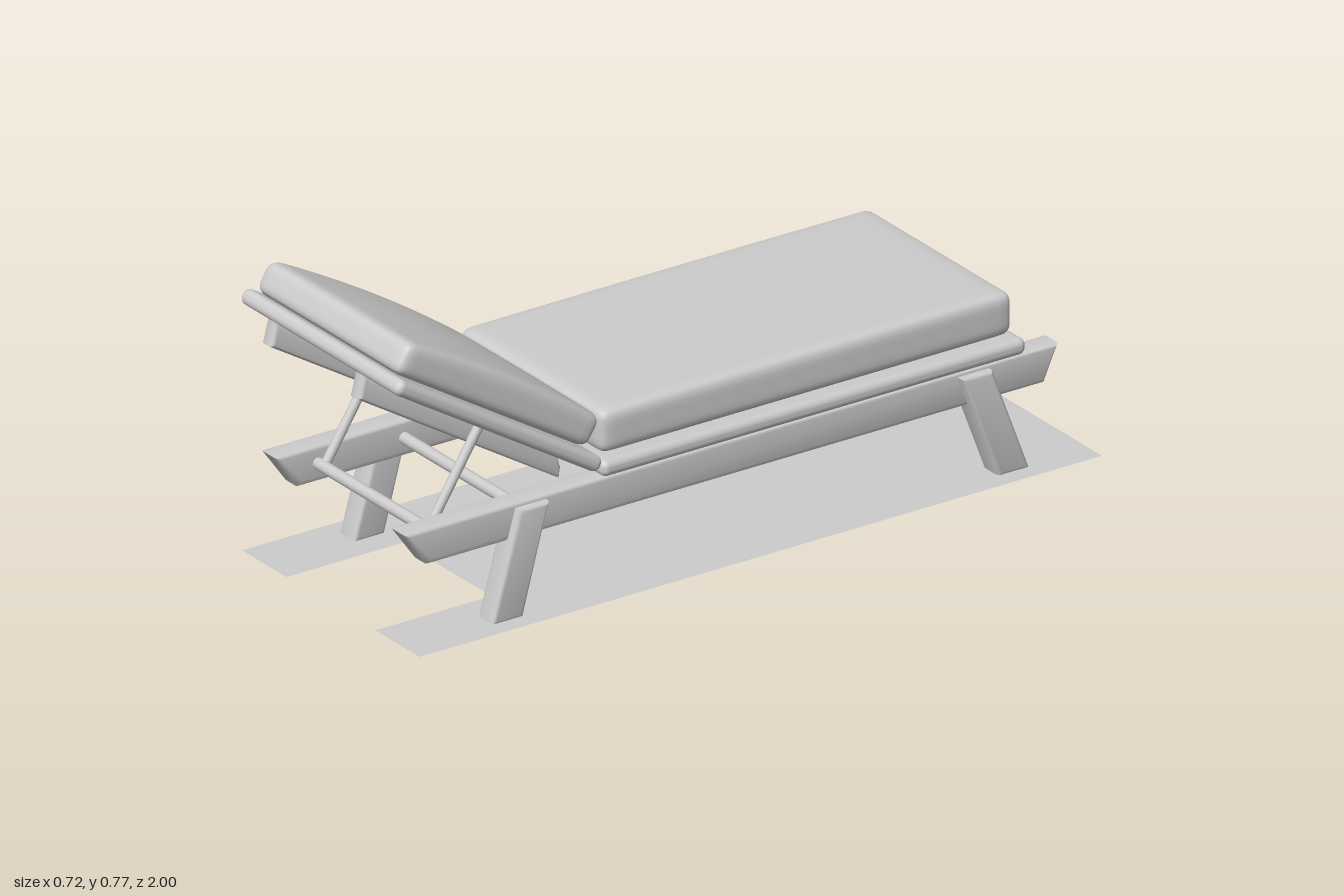
import * as THREE from 'three';
import { mergeVertices, toCreasedNormals } from 'three/addons/utils/BufferGeometryUtils.js';
import { RoundedBoxGeometry } from 'three/addons/geometries/RoundedBoxGeometry.js';

export function createModel() {
  const model = new THREE.Group();
  model.name = 'sunLounger';
  const grey = new THREE.MeshStandardMaterial({ color: 0xcccccc, side: THREE.DoubleSide });
  grey.name = 'light grey';

  const add = (parent, name, geometry, x = 0, y = 0, z = 0) => {
    const mesh = new THREE.Mesh(geometry, grey);
    mesh.name = name;
    mesh.position.set(x, y, z);
    parent.add(mesh);
    return mesh;
  };

  // Bevelled beam: side outline as [z, y] points, given a width along x
  const beam = (points, width, bevel = 0.012) => {
    const shape = new THREE.Shape(points.map(([z, y]) => new THREE.Vector2(z, y)));
    const geo = new THREE.ExtrudeGeometry(shape, {
      depth: width - 2 * bevel, bevelSize: bevel, bevelThickness: bevel,
      bevelOffset: -bevel, bevelSegments: 3,
    });
    geo.translate(0, 0, bevel - width / 2);
    geo.rotateY(-Math.PI / 2);
    return toCreasedNormals(geo, 0.7);
  };

  // Soft cushion: rounded box with a gently crowned top
  const cushion = (w, h, l, radius, crown) => {
    const geo = new THREE.BoxGeometry(2, 2, 2, 24, 12, 24);
    geo.deleteAttribute('uv');
    geo.deleteAttribute('normal');
    const half = new THREE.Vector3(w / 2, h / 2, l / 2);
    const core = half.clone().subScalar(radius);
    const pos = geo.attributes.position;
    const p = new THREE.Vector3(), c = new THREE.Vector3();
    const ease = (t) => Math.sin(t * Math.PI / 2);
    for (let i = 0; i < pos.count; i++) {
      p.fromBufferAttribute(pos, i);
      p.set(ease(p.x), ease(p.y), ease(p.z)).multiply(half);
      c.copy(p).clamp(core.clone().negate(), core);
      p.sub(c).setLength(radius).add(c);
      if (p.y > 0) {
        const fx = 1 - (p.x / half.x) ** 2, fz = 1 - (p.z / half.z) ** 2;
        p.y += crown * fz * (0.6 + 0.4 * fx) * (p.y / half.y);
      }
      pos.setXYZ(i, p.x, p.y, p.z);
    }
    const smooth = mergeVertices(geo, 1e-5);
    smooth.computeVertexNormals();
    return smooth;
  };

  // Round rod between two points
  const rod = (parent, name, a, b, radius) => {
    const from = new THREE.Vector3(...a), to = new THREE.Vector3(...b);
    const dir = to.clone().sub(from);
    const mesh = add(parent, name, new THREE.CylinderGeometry(radius, radius, dir.length(), 16));
    mesh.position.copy(from).add(to).multiplyScalar(0.5);
    mesh.quaternion.setFromUnitVectors(new THREE.Vector3(0, 1, 0), dir.normalize());
  };

  // Base: side rails, splayed legs and backrest struts
  const base = new THREE.Group();
  base.name = 'base';
  model.add(base);
  for (const [side, s] of [['left', 1], ['right', -1]]) {
    add(base, side + 'Rail', beam(
      [[0.87, 0.197], [0.935, 0.288], [-0.925, 0.288], [-0.885, 0.197]], 0.064), s * 0.262);
    add(base, side + 'FrontLeg', beam(
      [[0.7, 0], [0.61, 0], [0.535, 0.278], [0.622, 0.278]], 0.065), s * 0.281);
    add(base, side + 'BackLeg', beam(
      [[-0.74, 0], [-0.83, 0], [-0.725, 0.278], [-0.635, 0.278]], 0.065), s * 0.281);
    rod(base, side + 'Strut', [s * 0.211, 0.235, 0.815], [s * 0.211, 0.48, 0.66], 0.012);
  }
  for (const z of [0.815, 0.57]) {
    rod(base, 'crossBar', [-0.245, 0.245, z], [0.245, 0.245, z], 0.015);
  }

  // Seat
  add(model, 'seatPanel', new RoundedBoxGeometry(0.645, 0.042, 1.205, 4, 0.018), 0, 0.32, -0.212);
  add(model, 'seatCushion', cushion(0.588, 0.112, 1.172, 0.028, 0.003), 0, 0.398, -0.211);

  // Reclined backrest: local z runs up the slope, local y is its upward normal
  const backrest = new THREE.Group();
  backrest.name = 'backrest';
  backrest.position.set(0, 0.51, 0.682);
  backrest.rotation.x = -0.553;
  model.add(backrest);
  add(backrest, 'backPanel', new RoundedBoxGeometry(0.645, 0.04, 0.68, 4, 0.018));
  add(backrest, 'backCushion', cushion(0.584, 0.082, 0.645, 0.026, 0.022), 0, 0.063, 0.017);
  for (const s of [1, -1]) {
    add(backrest, 'backSupport', beam(
      [[-0.3, -0.018], [0.342, -0.018], [0.325, -0.075], [-0.345, -0.075], [-0.335, -0.05]],
      0.042, 0.01), s * 0.178);
  }

  // Thin floor sheet with a notch at the front
  const sheet = new THREE.Shape([
    [-0.36, -1], [0.36, -1], [0.36, 0.94], [0.18, 0.94],
    [0.18, 0.61], [-0.18, 0.61], [-0.18, 0.94], [-0.36, 0.94],
  ].map(([x, z]) => new THREE.Vector2(x, -z)));
  add(model, 'floorSheet', new THREE.ShapeGeometry(sheet).rotateX(-Math.PI / 2), 0, 0.005, 0);

  return model;
}
